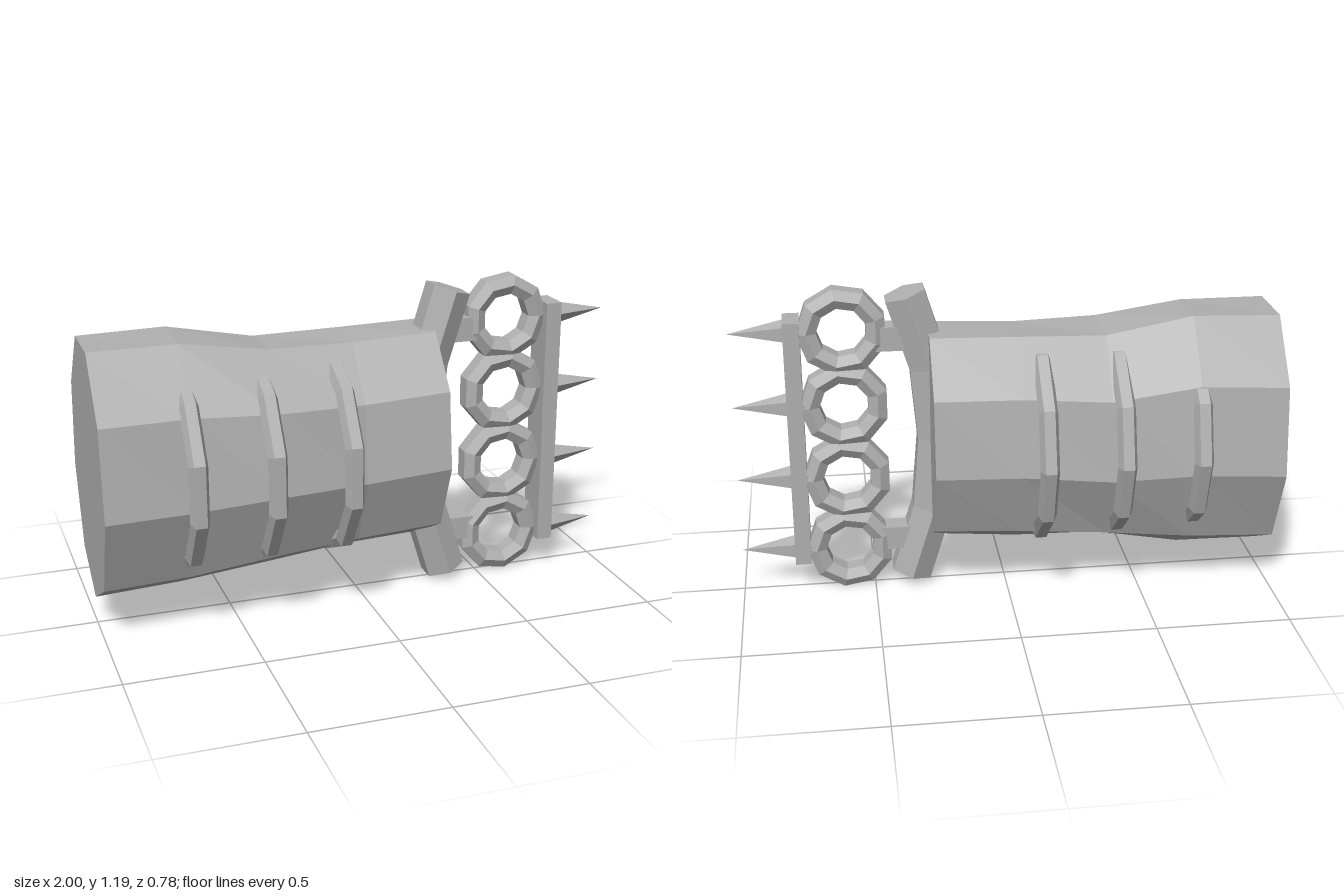
import * as THREE from 'three';

const grey = new THREE.MeshStandardMaterial({ color: 0xb0b0b0, flatShading: true });
grey.name = 'plain grey';

// Closed solid through a list of equal-sized rings of Vector3
function loft(rings) {
  const n = rings[0].length, pos = [], idx = [];
  rings.forEach(r => r.forEach(p => pos.push(p.x, p.y, p.z)));
  for (let i = 0; i < rings.length - 1; i++) {
    for (let j = 0; j < n; j++) {
      const k = (j + 1) % n, a = i * n + j, b = i * n + k;
      idx.push(a, a + n, b, b, a + n, b + n);
    }
  }
  const last = (rings.length - 1) * n;
  for (let j = 1; j < n - 1; j++) {
    idx.push(0, j, j + 1);
    idx.push(last, last + j + 1, last + j);
  }
  const g = new THREE.BufferGeometry();
  g.setAttribute('position', new THREE.Float32BufferAttribute(pos, 3));
  g.setIndex(idx);
  const flat = g.toNonIndexed();
  flat.computeVertexNormals();
  return flat;
}

// Faceted ring with a six-sided section, axis along y
function facetRing(outer, inner, flatHalf, midHalf, sides) {
  const mid = (outer + inner) / 2;
  const profile = [
    [outer, -flatHalf], [outer, flatHalf], [mid, midHalf],
    [inner, flatHalf], [inner, -flatHalf], [mid, -midHalf], [outer, -flatHalf],
  ].map(([r, y]) => new THREE.Vector2(r, y));
  return new THREE.LatheGeometry(profile, sides);
}

export function createModel() {
  const model = new THREE.Group();
  const add = (name, geometry, x = 0, y = 0, z = 0) => {
    const m = new THREE.Mesh(geometry, grey);
    m.name = name;
    m.position.set(x, y, z);
    model.add(m);
    return m;
  };

  // Nine-sided forearm sleeve: x, bottom, top, z radius, z centre, twist
  const sections = [
    [-1, 0.105, 1.065, 0.335, -0.01, 0],
    [-0.68, 0.115, 1.07, 0.32, -0.015, -0.02],
    [-0.36, 0.16, 1.015, 0.315, 0, 0.02],
    [-0.04, 0.18, 1.015, 0.285, -0.015, -0.02],
    [0.28, 0.2, 1.025, 0.288, -0.005, 0],
  ];
  add('sleeve', loft(sections.map(([x, bottom, top, rz, cz, twist]) => {
    const ry = (top - bottom) / 1.94, cy = bottom + ry;
    return Array.from({ length: 9 }, (_, j) => {
      const a = -Math.PI / 2 + j * Math.PI * 2 / 9 + twist;
      return new THREE.Vector3(x, cy + ry * Math.sin(a), cz + rz * Math.cos(a));
    });
  })));

  // Three bands sunk into the sleeve
  const bandGeo = facetRing(0.4, 0.335, 0.02, 0.035, 11).rotateZ(-Math.PI / 2).rotateY(Math.PI);
  [-0.68, -0.4, -0.12].forEach(x => add('sleeveBand', bandGeo, x, 0.6, 0));

  // Bowed hand guard, six-sided section swept along a path
  const path = [[0.36, 0.045], [0.275, 0.32], [0.25, 0.605], [0.275, 0.89], [0.36, 1.165]]
    .map(p => new THREE.Vector2(...p));
  add('handGuard', loft(path.map((p, i) => {
    const t = path[Math.min(i + 1, 4)].clone().sub(path[Math.max(i - 1, 0)]).normalize();
    return Array.from({ length: 6 }, (_, j) => {
      const a = Math.PI / 6 + j * Math.PI / 3;
      const d = 0.085 * Math.cos(a);
      return new THREE.Vector3(p.x + t.y * d, p.y - t.x * d, 0.008 + 0.085 * Math.sin(a));
    });
  })));

  // Struts joining the guard to the outer finger rings
  const strutGeo = new THREE.BoxGeometry(0.13, 0.09, 0.08);
  [0.205, 1.005].forEach(y => add('strut', strutGeo, 0.41, y, 0));

  // Finger rings and the spikes in front of them
  const ringGeo = facetRing(0.165, 0.092, 0.03, 0.05, 9).rotateX(Math.PI / 2).rotateZ(Math.PI / 2);
  const spikeGeo = new THREE.ConeGeometry(0.05, 0.22, 5).rotateZ(-Math.PI / 2);
  [0.17, 0.46, 0.75, 1.035].forEach(y => {
    add('fingerRing', ringGeo, 0.59, y, 0);
    add('spike', spikeGeo, 0.89, y, 0.005);
  });

  // Knuckle bar
  add('knuckleBar', new THREE.BoxGeometry(0.06, 0.96, 0.125), 0.77, 0.605, 0.005);

  return model;
}
